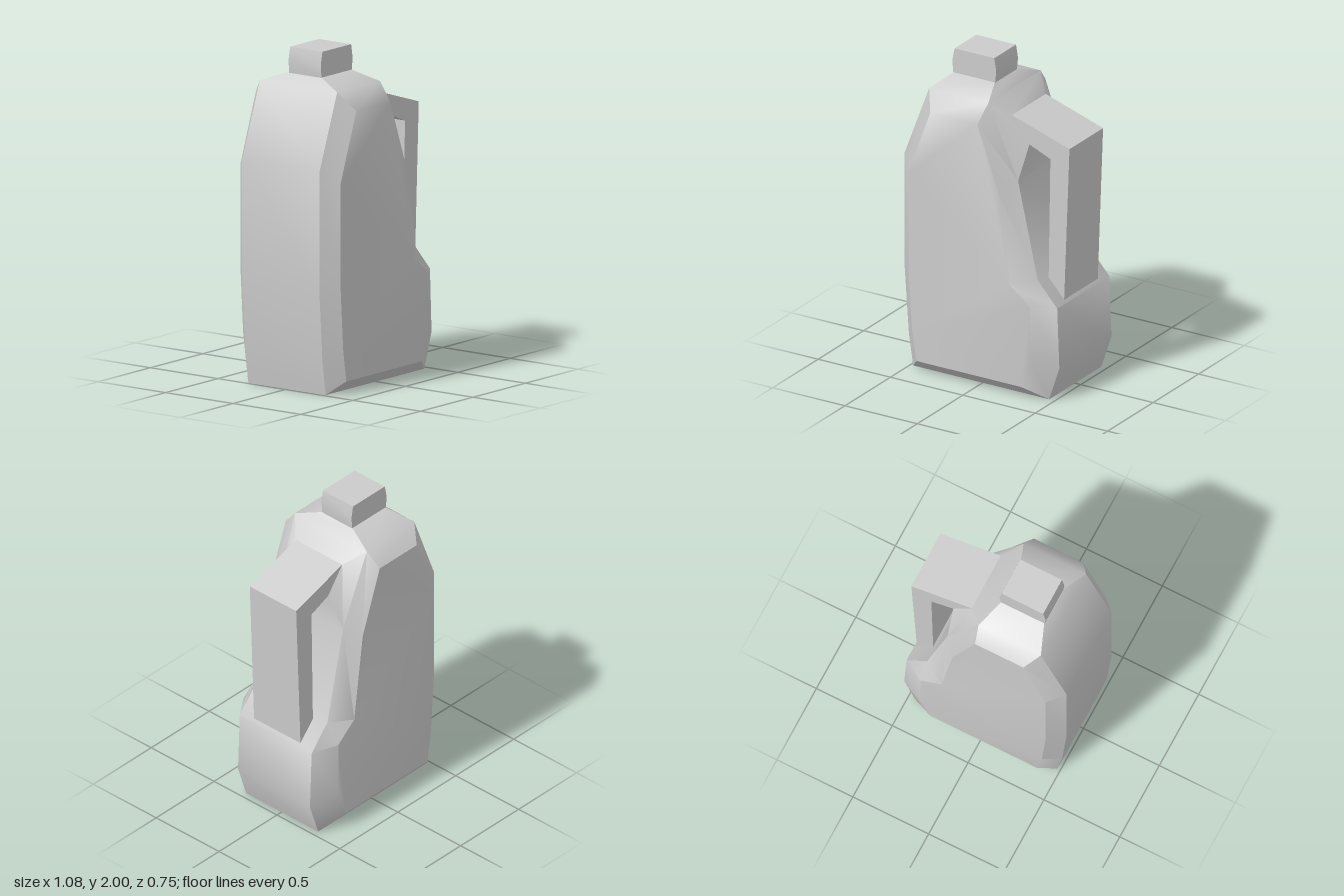
import * as THREE from 'three';
import { toCreasedNormals } from 'three/addons/utils/BufferGeometryUtils.js';

// Side outline of the jug (clockwise from bottom left) and the inset flat panel
const OUTER = [[-0.48, 0], [-0.51, 0.2], [-0.54, 0.63], [-0.54, 1.34], [-0.37, 1.79], [0.04, 1.79],
  [0.245, 1.34], [0.38, 0.74], [0.515, 0.59], [0.53, 0.21], [0.46, 0]];
const PANEL = [[-0.4, 0.08], [-0.43, 0.27], [-0.455, 0.65], [-0.455, 1.27], [-0.305, 1.68], [0.02, 1.68],
  [0.17, 1.27], [0.245, 0.71], [0.385, 0.6], [0.385, 0.26], [0.32, 0.08]];
const TOP = 4, HANDLE_ROOT = 5; // outline edges that open into the collar and the handle

const at = (outline, z) => outline.map(([x, y]) => [x, y, z]);
const quad = (out, a, b, c, d) => out.push(...a, ...b, ...c, ...a, ...c, ...d);

// Skin between two closed loops with the same number of points
function bridge(out, from, to, skip = []) {
  from.forEach((p, i) => {
    if (skip.includes(i)) return;
    const j = (i + 1) % from.length;
    quad(out, p, from[j], to[j], to[i]);
  });
}

// Four-cornered section spanning two side-view points a and b
const section = (a, b, zf, zb) => [[...a, zf], [...b, zf], [...b, zb], [...a, zb]];

// Flat cap over a (possibly concave) outline
function fill(out, loop, facesFront) {
  const pts = loop.map(([x, y]) => new THREE.Vector2(x, y));
  for (const [a, b, c] of THREE.ShapeUtils.triangulateShape(pts, [])) {
    const ccw = (pts[b].x - pts[a].x) * (pts[c].y - pts[a].y) - (pts[b].y - pts[a].y) * (pts[c].x - pts[a].x) > 0;
    const order = ccw === facesFront ? [a, b, c] : [a, c, b];
    order.forEach((i) => out.push(...loop[i]));
  }
}

function makeMesh(name, positions, crease) {
  const geometry = new THREE.BufferGeometry();
  geometry.setAttribute('position', new THREE.Float32BufferAttribute(positions, 3));
  const mesh = new THREE.Mesh(toCreasedNormals(geometry, crease),
    new THREE.MeshStandardMaterial({ color: 0xcccccc }));
  mesh.name = name;
  return mesh;
}

export function createModel() {
  const jug = new THREE.Group();
  jug.name = 'jug';

  // Body: panel, bevel, wall, bevel, panel
  const body = [];
  const front = at(PANEL, 0.373);
  const back = at(PANEL.map(([x, y]) => [x * 0.98, y + 0.02]), -0.375);
  const frontRim = at(OUTER, 0.282), backRim = at(OUTER, -0.29);
  bridge(body, front, frontRim);
  bridge(body, frontRim, backRim, [TOP, HANDLE_ROOT]);
  bridge(body, backRim, back);
  fill(body, front, true);
  fill(body, back, false);

  // Sloping shoulder up to the neck
  bridge(body, section(OUTER[4], OUTER[5], 0.282, -0.29),
    section([-0.305, 1.847], [-0.02, 1.847], 0.117, -0.122));

  // Tapered root where the handle grows out of the body
  const root = section([0.14, 1.7], [0.26, 1.54], 0.182, -0.187);
  bridge(body, section(OUTER[5], OUTER[6], 0.282, -0.29), root);
  jug.add(makeMesh('body', body, 0.7));

  // Handle: across the top, then down to the lower shoulder
  const handle = [];
  const elbow = section([0.537, 1.573], [0.405, 1.48], 0.182, -0.187);
  const foot = section([0.5, 0.6], [0.393, 0.72], 0.182, -0.187);
  bridge(handle, root, elbow);
  bridge(handle, elbow, foot);
  jug.add(makeMesh('handle', handle, 0.3));

  // Square cap with slightly bulged sides
  const cap = [];
  const capOutline = [[-0.307, 1.845], [-0.314, 1.92], [-0.298, 2], [-0.024, 2], [-0.01, 1.92], [-0.018, 1.845]];
  const capFront = at(capOutline, 0.117), capBack = at(capOutline, -0.122);
  bridge(cap, capFront, capBack);
  fill(cap, capFront, true);
  fill(cap, capBack, false);
  jug.add(makeMesh('cap', cap, 0.3));

  return jug;
}
